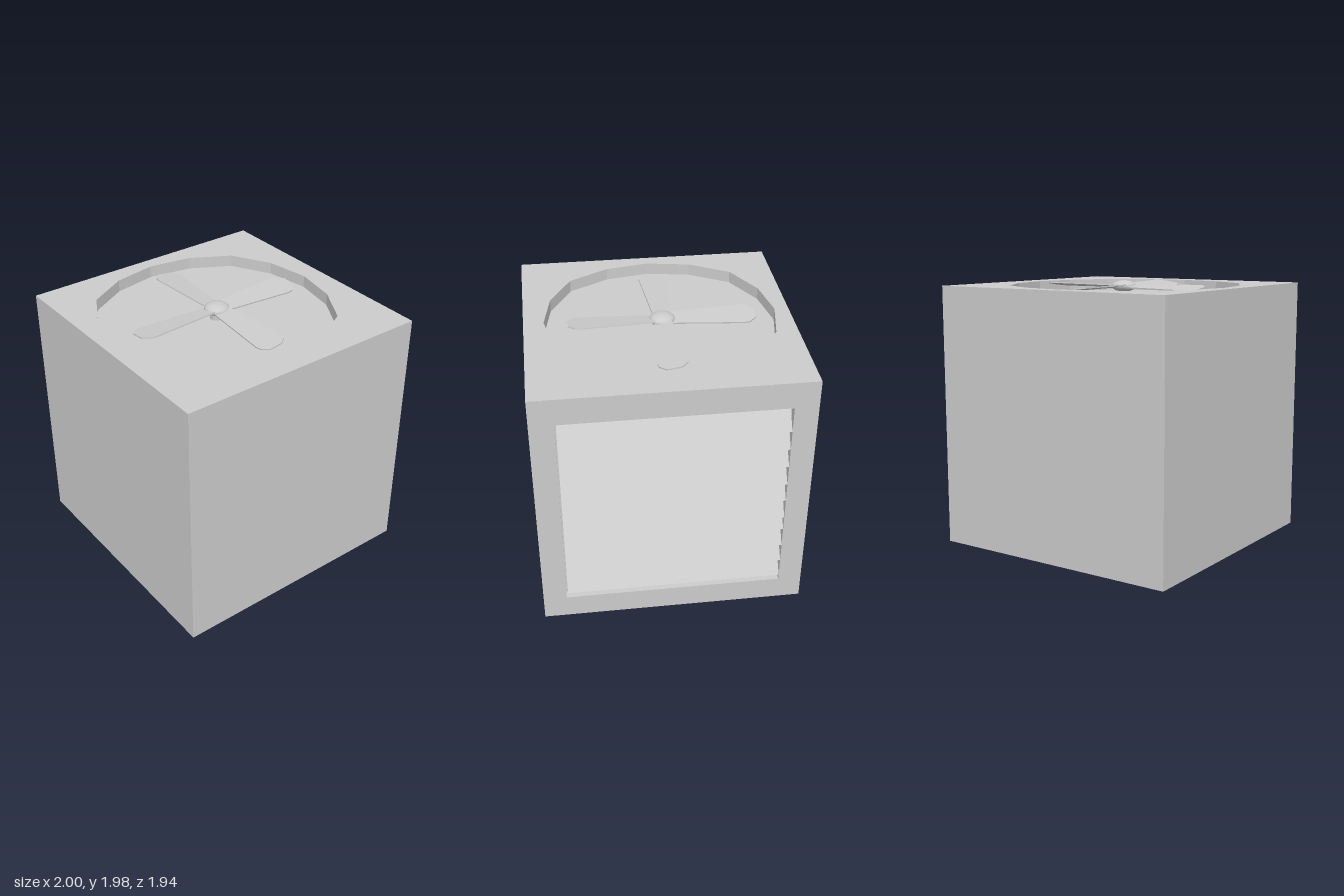
import * as THREE from 'three';

const material = new THREE.MeshStandardMaterial({ color: 0xcccccc, side: THREE.DoubleSide, flatShading: true });
const smooth = new THREE.MeshStandardMaterial({ color: 0xcccccc });

function add(parent, name, geometry, mat = material) {
  const mesh = new THREE.Mesh(geometry, mat);
  mesh.name = name;
  parent.add(mesh);
  return mesh;
}

const rectangle = (x0, y0, x1, y1) => [[x0, y0], [x1, y0], [x1, y1], [x0, y1]].map(p => new THREE.Vector2(...p));

// Sheet panel facing +z with a shallow recess sunk into it
function recessedPanel(name, outline, opening, depth) {
  const group = new THREE.Group();
  group.name = name;
  const face = new THREE.Shape(outline);
  face.holes.push(new THREE.Path(opening));
  add(group, name + 'Face', new THREE.ShapeGeometry(face));
  add(group, name + 'RecessFloor', new THREE.ShapeGeometry(new THREE.Shape(opening))).position.z = -depth;
  const walls = [];
  opening.forEach((a, i) => {
    const b = opening[(i + 1) % opening.length];
    walls.push(a.x, a.y, 0, a.x, a.y, -depth, b.x, b.y, -depth);
    walls.push(a.x, a.y, 0, b.x, b.y, -depth, b.x, b.y, 0);
  });
  const geometry = new THREE.BufferGeometry();
  geometry.setAttribute('position', new THREE.Float32BufferAttribute(walls, 3));
  geometry.computeVertexNormals();
  add(group, name + 'RecessWalls', geometry);
  return group;
}

export function createModel() {
  const model = new THREE.Group();
  model.name = 'airConditioningUnit';
  const left = -1, right = 0.94, half = 0.97, height = 1.95, mid = (left + right) / 2;

  // Plain sheet walls; the underside is open
  const plain = new THREE.PlaneGeometry(2 * half, height);
  for (const [name, x, z, turn] of [
    ['frontWall', mid, half, 0],
    ['backWall', mid, -half, Math.PI],
    ['leftHandWall', left, 0, -Math.PI / 2],
  ]) {
    const wall = add(model, name, plain);
    wall.position.set(x, height / 2, z);
    wall.rotation.y = turn;
  }

  // Top with sixteen-sided fan well
  const radii = [0.845, 0.852, 0.88, 0.852];
  const well = Array.from({ length: 16 }, (_, i) => {
    const a = i * Math.PI / 8, r = radii[i % 4];
    return new THREE.Vector2(-0.055 + r * Math.cos(a), 0.022 + r * Math.sin(a));
  });
  const top = recessedPanel('top', rectangle(left, -half, right, half), well, 0.09);
  top.rotation.x = -Math.PI / 2;
  top.position.y = height;
  model.add(top);

  // Side wall with shallow vent recess
  const vent = recessedPanel('ventWall', rectangle(-half, 0, half, height), rectangle(-0.8, 0.18, 0.8, 1.75), 0.06);
  vent.rotation.y = Math.PI / 2;
  vent.position.x = right;
  model.add(vent);

  // Slanted louvres, given by the height of their outer lower edge
  const louvres = new THREE.Group();
  louvres.name = 'louvres';
  model.add(louvres);
  const slat = new THREE.BoxGeometry(0.186, 0.012, 1.57);
  for (const y of [1.6, 1.45, 1.3, 1.145, 1.0, 0.845, 0.735, 0.58, 0.43, 0.28]) {
    const louvre = add(louvres, 'louvre', slat);
    louvre.position.set(0.94, y + 0.073, 0.003);
    louvre.rotation.z = -Math.atan2(0.15, 0.11);
  }

  // Fan: four pitched blades, domed hub and stem
  const fan = new THREE.Group();
  fan.name = 'fan';
  fan.position.set(-0.035, 1.938, -0.032);
  model.add(fan);
  const side = [[0.03, 0.062], [0.59, 0.108], [0.635, 0.1], [0.682, 0.052]];
  const outline = [...side.map(([x, y]) => [x, -y]), ...side.slice().reverse()];
  const bladeGeometry = new THREE.ExtrudeGeometry(
    new THREE.Shape(outline.map(p => new THREE.Vector2(...p))), { depth: 0.01, bevelEnabled: false });
  bladeGeometry.translate(0, 0, -0.005);
  bladeGeometry.rotateX(-Math.PI / 2 + 0.14);
  for (let i = 0; i < 4; i++) add(fan, 'blade', bladeGeometry).rotation.y = i * Math.PI / 2;
  const hub = add(fan, 'hub', new THREE.SphereGeometry(0.093, 20, 12), smooth);
  hub.scale.y = 0.46;
  const stem = add(fan, 'stem', new THREE.CylinderGeometry(0.05, 0.05, 0.078, 16), smooth);
  stem.position.y = -0.039;

  return model;
}
